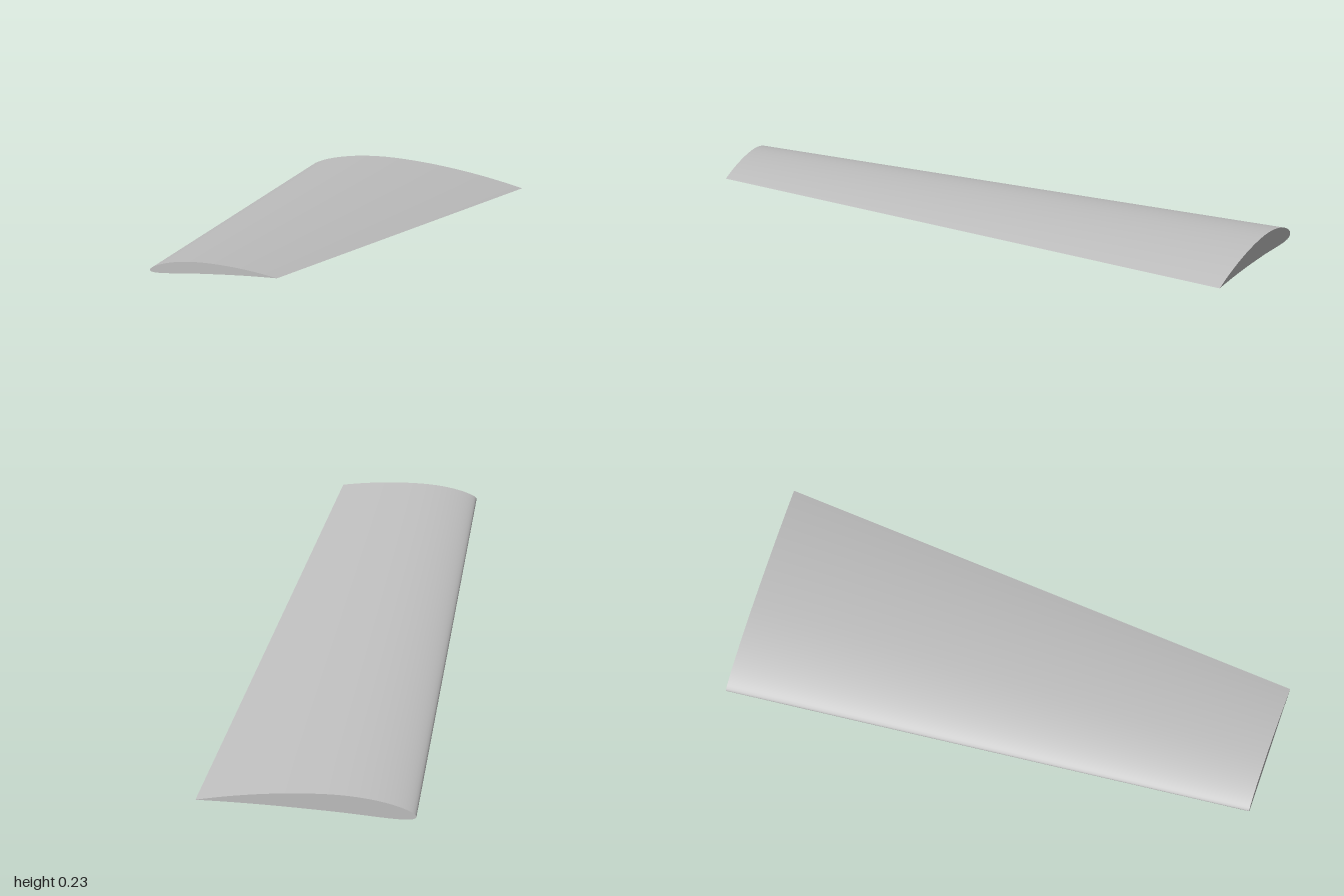
import * as THREE from 'three';

const CAMBER = 0.04, CAMBER_POS = 0.4, THICKNESS = 0.09;
const SIDE_STEPS = 32, SPAN_STEPS = 8;

// Leading and trailing edge positions at the wide root and the narrow, twisted tip
const root = { z: -1, lx: -0.412, ly: 0.0145, tx: 0.412, ty: 0.0155 };
const tip = { z: 1, lx: -0.332, ly: 0.185, tx: 0.165, ty: 0.202 };

// Cambered aerofoil on a unit chord: side +1 is the upper face, -1 the lower
function foilPoint(t, side) {
  const half = 5 * THICKNESS * (0.2969 * Math.sqrt(t) - 0.126 * t - 0.3516 * t ** 2
    + 0.2843 * t ** 3 - 0.1036 * t ** 4);
  const k = CAMBER / (t < CAMBER_POS ? CAMBER_POS : 1 - CAMBER_POS) ** 2;
  const base = t < CAMBER_POS ? 0 : 1 - 2 * CAMBER_POS;
  const camber = k * (base + 2 * CAMBER_POS * t - t * t);
  const slope = Math.atan(2 * k * (CAMBER_POS - t));
  return [t - side * half * Math.sin(slope), camber + side * half * Math.cos(slope)];
}

// Section loop: trailing edge, over the top, round the nose, back underneath
function section(s) {
  const mix = (key) => THREE.MathUtils.lerp(root[key], tip[key], s);
  const lx = mix('lx'), ly = mix('ly');
  const dx = mix('tx') - lx, dy = mix('ty') - ly;
  const points = [];
  for (let i = -SIDE_STEPS; i <= SIDE_STEPS; i++) {
    const t = (1 - Math.cos(Math.PI * i / SIDE_STEPS)) / 2;
    const [u, v] = foilPoint(t, i < 0 ? 1 : -1);
    points.push(new THREE.Vector3(lx + u * dx - v * dy, ly + u * dy + v * dx, mix('z')));
  }
  return points;
}

// Smooth skin lofted between sections, left open at the sharp trailing edge
function skinGeometry() {
  const points = [], index = [];
  const ring = 2 * SIDE_STEPS + 1;
  for (let j = 0; j <= SPAN_STEPS; j++) {
    points.push(...section(j / SPAN_STEPS));
    if (j === SPAN_STEPS) break;
    for (let i = 0; i < ring - 1; i++) {
      const a = j * ring + i, c = a + ring;
      index.push(a, a + 1, c, a + 1, c + 1, c);
    }
  }
  const geometry = new THREE.BufferGeometry().setFromPoints(points);
  geometry.setIndex(index);
  geometry.computeVertexNormals();
  return geometry;
}

// Flat end cap stitched between upper and lower points
function capGeometry(s, facesFront) {
  const points = section(s), index = [];
  const last = points.length - 1;
  const add = (a, b, c) => (facesFront ? index.push(a, b, c) : index.push(a, c, b));
  for (let i = 0; i < SIDE_STEPS; i++) {
    const lower = last - i;
    if (i > 0) add(i, i + 1, lower);
    if (i < SIDE_STEPS - 1 || i === 0) add(i + 1, lower - 1, lower);
  }
  const geometry = new THREE.BufferGeometry().setFromPoints(points);
  geometry.setIndex(index);
  geometry.computeVertexNormals();
  return geometry;
}

export function createModel() {
  const group = new THREE.Group();
  group.name = 'wing';
  const grey = new THREE.MeshStandardMaterial({ color: 0xc0c0c0 });
  grey.name = 'light grey';

  const addPart = (name, geometry) => {
    const mesh = new THREE.Mesh(geometry, grey);
    mesh.name = name;
    group.add(mesh);
  };
  addPart('wingSkin', skinGeometry());
  addPart('rootCap', capGeometry(0, false));
  addPart('tipCap', capGeometry(1, true));
  return group;
}
